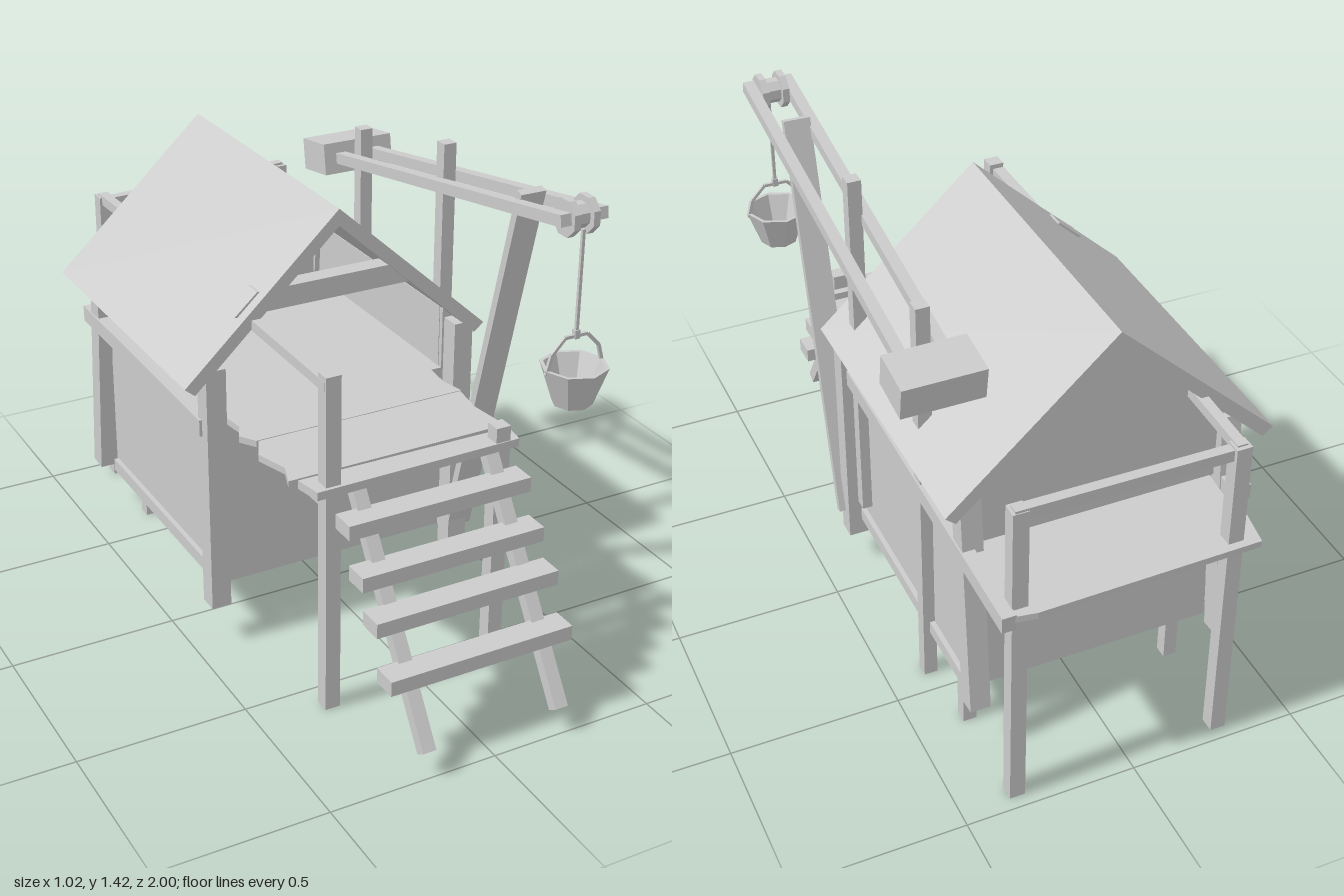
import * as THREE from 'three';

export function createModel() {
  const model = new THREE.Group();
  const mat = new THREE.MeshStandardMaterial({ color: 0xcccccc, flatShading: true });
  const open = new THREE.MeshStandardMaterial({ color: 0xcccccc, flatShading: true, side: THREE.DoubleSide });

  const add = (name, geometry, material = mat) => {
    const mesh = new THREE.Mesh(geometry, material);
    mesh.name = name;
    model.add(mesh);
    return mesh;
  };
  // Box given by its extents on each axis
  const box = (name, x0, x1, y0, y1, z0, z1) => {
    const m = add(name, new THREE.BoxGeometry(x1 - x0, y1 - y0, z1 - z0));
    m.position.set((x0 + x1) / 2, (y0 + y1) / 2, (z0 + z1) / 2);
    return m;
  };
  // Straight timber between two points
  const beam = (name, a, b, width, thick) => {
    const p = new THREE.Vector3(...a), q = new THREE.Vector3(...b);
    const m = add(name, new THREE.BoxGeometry(width, thick, p.distanceTo(q)));
    m.position.copy(p).add(q).multiplyScalar(0.5);
    m.lookAt(q);
    return m;
  };
  const post = (name, x, z, y0, y1, w = 0.045) => box(name, x - w / 2, x + w / 2, y0, y1, z - w / 2, z + w / 2);
  const extrude = (points, depth) => new THREE.ExtrudeGeometry(
    new THREE.Shape(points.map(p => new THREE.Vector2(...p))), { depth, bevelEnabled: false });
  // Outline in x and y, extruded from z0 to z1
  const slab = (name, points, z0, z1) => add(name, extrude(points, z1 - z0).translate(0, 0, z0));
  // Outline in x and z, laid flat from y0 to y1
  const board = (name, points, y0, y1) =>
    add(name, extrude(points.map(([x, z]) => [x, -z]), y1 - y0).rotateX(-Math.PI / 2).translate(0, y0, 0));

  // House body with loft floor, upper side walls and back gable
  box('houseBody', -0.385, 0.355, 0.16, 0.695, -0.68, 0.11);
  box('leftUpperWall', -0.385, -0.377, 0.695, 0.915, -0.68, 0.11);
  box('rightUpperWall', 0.347, 0.355, 0.695, 0.885, -0.68, 0.11);
  slab('backGable', [[-0.385, 0.69], [0.355, 0.69], [0.355, 0.89], [-0.035, 1.25], [-0.385, 0.92]], -0.69, -0.67);
  box('rightSill', 0.35, 0.37, 0.16, 0.2, -0.67, 0.12);
  box('leftSill', -0.4, -0.38, 0.16, 0.2, -0.67, 0.12);

  // Roof, with a collar beam whose left end shows through the slope
  slab('roof', [[-0.48, 0.825], [-0.035, 1.24], [0.415, 0.825], [0.445, 0.85], [-0.035, 1.29], [-0.51, 0.85]], -0.745, 0.178);
  slab('collarBeam', [[-0.342, 1.015], [0.215, 1.015], [0.15, 1.078], [-0.272, 1.078]], 0.09, 0.145);

  // Corner posts, the back pair leaning outwards
  box('frontCornerPost', -0.445, -0.385, 0.125, 0.885, 0.115, 0.175);
  box('frontCornerPost', 0.35, 0.41, 0.105, 0.86, 0.115, 0.175);
  beam('backCornerPost', [0.36, 0.16, -0.742], [0.36, 0.87, -0.68], 0.06, 0.06);
  beam('backCornerPost', [-0.4, 0.16, -0.742], [-0.4, 0.89, -0.68], 0.06, 0.06);

  // Long side beams
  beam('sideBeam', [0.375, 0.705, 0.17], [0.375, 0.67, -0.985], 0.04, 0.05);
  beam('sideBeam', [-0.423, 0.7, 0.14], [-0.402, 0.68, -0.785], 0.06, 0.05);

  // Legs and tall posts
  post('shortLeg', 0.34, -0.63, 0, 0.17, 0.04);
  post('shortLeg', -0.3, -0.63, 0, 0.17, 0.04);
  post('tallPost', 0.37, -0.415, 0, 1.28, 0.04);
  post('tallPost', 0.365, 0.075, 0.25, 1.385, 0.04);
  post('frontPost', -0.282, 0.585, 0, 1.025);
  post('frontPost', 0.245, 0.585, 0, 0.75);
  post('backPost', 0.335, -0.94, 0, 1.0);
  post('backPost', -0.285, -0.94, 0, 1.0);

  // Handrails
  beam('frontRail', [-0.288, 0.995, 0.6], [-0.288, 1.0, 0.09], 0.035, 0.03);
  beam('backRail', [-0.3, 0.975, -0.935], [0.35, 0.99, -0.945], 0.03, 0.035);
  beam('backSideRail', [-0.285, 0.99, -0.95], [-0.285, 1.0, -0.68], 0.03, 0.03);

  // Front deck boards with ragged ends
  board('deckBoard', [[-0.36, 0.1], [0.31, 0.1], [0.3, 0.2], [0.315, 0.275], [-0.345, 0.277], [-0.375, 0.23], [-0.35, 0.18]], 0.68, 0.7);
  board('deckBoard', [[-0.34, 0.28], [0.31, 0.278], [0.295, 0.38], [0.31, 0.515], [-0.37, 0.52], [-0.345, 0.45], [-0.375, 0.35]], 0.68, 0.7);
  board('landingBoard', [[-0.35, 0.535], [0.305, 0.54], [0.295, 0.61], [-0.335, 0.618]], 0.68, 0.705);
  for (const x of [-0.28, 0.245]) beam('deckJoist', [x, 0.64, 0.575], [x, 0.63, 0.28], 0.03, 0.03);

  // Back deck
  board('backDeck', [[-0.36, -0.68], [0.385, -0.68], [0.385, -0.75], [0.355, -0.83], [0.36, -0.985], [0.3, -0.995],
    [-0.35, -0.985], [-0.37, -0.86], [-0.35, -0.8]], 0.67, 0.69);

  // Stairs
  for (const x of [-0.205, 0.21]) beam('stairStringer', [x, 0.075, 0.985], [x, 0.675, 0.59], 0.04, 0.036);
  [[0.265, 0.893], [0.397, 0.815], [0.492, 0.737], [0.61, 0.663]].forEach(([y, z]) =>
    box('stairTread', -0.285, 0.278, y - 0.022, y + 0.022, z - 0.038, z + 0.038));

  // Crane: leaning strut, twin arms and counterweight
  beam('craneStrut', [0.39, 0.18, 0.157], [0.383, 1.37, 0.48], 0.078, 0.025);
  for (const x of [0.332, 0.447]) beam('craneArm', [x, 1.375, 0.715], [x, 1.15, -0.58], 0.033, 0.033);
  const weight = box('counterweight', 0.275, 0.51, 1.108, 1.205, -0.627, -0.488);
  weight.rotation.x = -0.15;

  // Pulley with two flanges and axle
  const disc = (name, x, r, w) => {
    const m = add(name, new THREE.CylinderGeometry(r, r, w, 8).rotateY(Math.PI / 8).rotateZ(Math.PI / 2));
    m.position.set(x, 1.367, 0.678);
  };
  disc('pulleyAxle', 0.39, 0.015, 0.14);
  disc('pulleyDrum', 0.39, 0.036, 0.06);
  for (const x of [0.36, 0.42]) disc('pulleyFlange', x, 0.054, 0.02);

  // Rope and open bucket with bail handle
  beam('rope', [0.39, 1.34, 0.712], [0.39, 1.04, 0.71], 0.009, 0.009);
  box('ropeKnot', 0.382, 0.398, 1.03, 1.055, 0.702, 0.718);
  const profile = [[0, 0.84], [0.056, 0.84], [0.095, 0.952], [0.084, 0.952], [0.048, 0.856], [0, 0.856]]
    .map(p => new THREE.Vector2(...p));
  const bucket = add('bucket', new THREE.LatheGeometry(profile, 8), open);
  bucket.position.set(0.39, 0, 0.71);
  const bail = [[-0.09, 0.94], [-0.075, 0.995], [-0.035, 1.037], [0.035, 1.037], [0.075, 0.995], [0.09, 0.94]]
    .map(([x, y]) => [0.39 + x, y, 0.71]);
  for (let i = 1; i < bail.length; i++) beam('bucketHandle', bail[i - 1], bail[i], 0.009, 0.009);

  return model;
}
